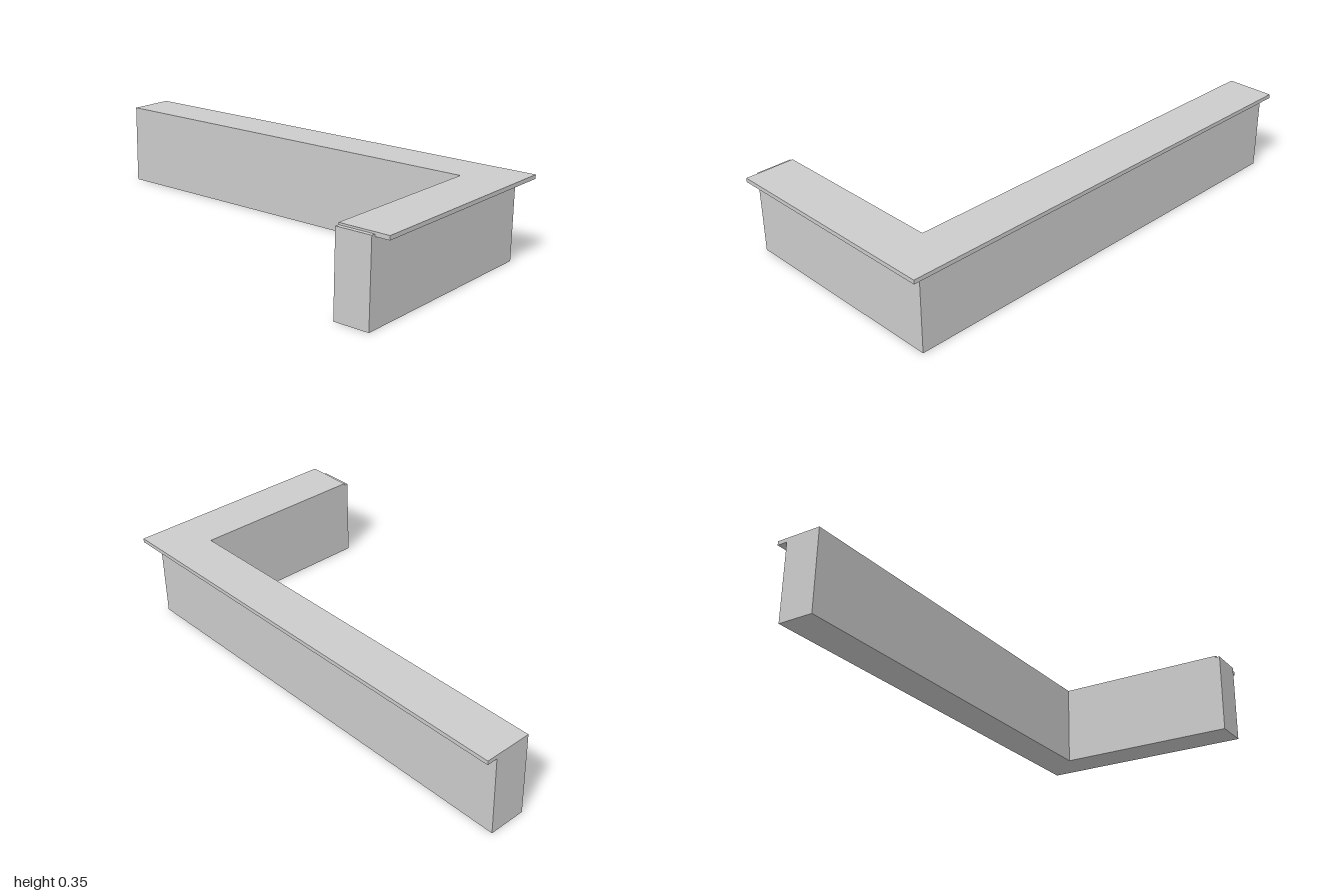
import * as THREE from 'three';

export function createModel() {
  const model = new THREE.Group();
  const material = new THREE.MeshStandardMaterial({ color: 0xcccccc, flatShading: true });

  // Box given by its extents along each axis
  const block = (name, [x0, x1], [y0, y1], [z0, z1]) => {
    const mesh = new THREE.Mesh(new THREE.BoxGeometry(x1 - x0, y1 - y0, z1 - z0), material);
    mesh.position.set((x0 + x1) / 2, (y0 + y1) / 2, (z0 + z1) / 2);
    mesh.name = name;
    model.add(mesh);
  };

  const wall = [0, 0.345];
  const slab = [0.336, 0.353];

  // Counter bodies: the short wing carries the corner, the long wing runs back from it
  block('shortWingBody', [-0.491, 0.446], wall, [0.79, 0.94]);
  block('longWingBody', [0.29, 0.446], wall, [-1, 0.79]);

  // Countertops, overhanging the outer faces only
  block('shortWingTop', [-0.473, 0.491], slab, [0.79, 1]);
  block('longWingTop', [0.29, 0.491], slab, [-1, 0.79]);

  return model;
}
